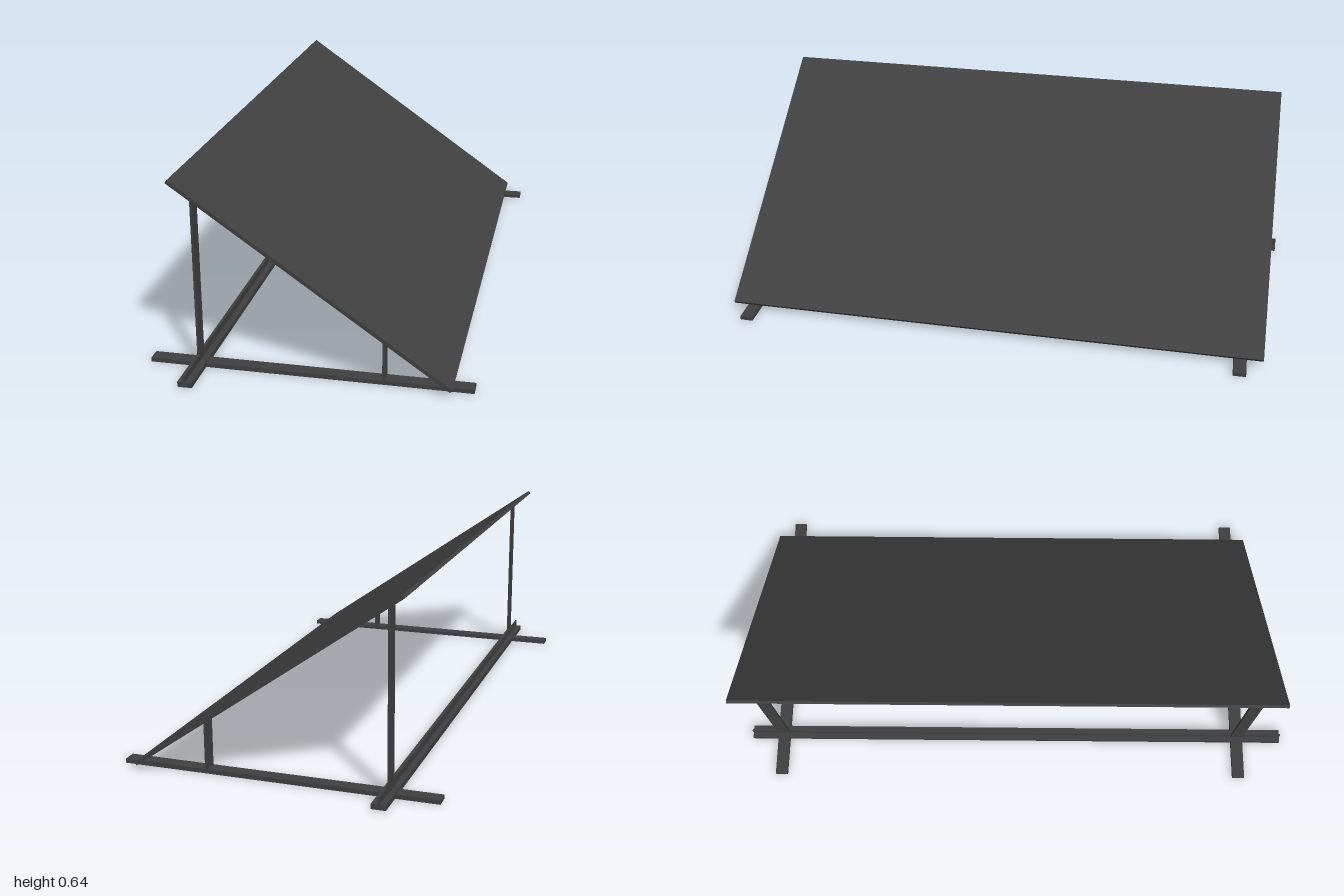
import * as THREE from 'three';

export function createModel() {
  const model = new THREE.Group();
  const darkGrey = new THREE.MeshStandardMaterial({ color: 0x404040 });
  darkGrey.name = 'darkGrey';

  // Box given by its extents along each axis
  const addBox = (name, [x0, x1], [y0, y1], [z0, z1]) => {
    const mesh = new THREE.Mesh(new THREE.BoxGeometry(x1 - x0, y1 - y0, z1 - z0), darkGrey);
    mesh.position.set((x0 + x1) / 2, (y0 + y1) / 2, (z0 + z1) / 2);
    mesh.name = name;
    model.add(mesh);
    return mesh;
  };

  // Sloping panel, from the high edge to the low edge
  const high = new THREE.Vector2(-0.414, 0.631);
  const low = new THREE.Vector2(0.45, 0.026);
  const length = high.distanceTo(low);
  const panel = addBox('panel', [-length / 2, length / 2], [-0.006, 0.006], [-0.96, 0.906]);
  panel.position.x = (high.x + low.x) / 2;
  panel.position.y = (high.y + low.y) / 2;
  panel.rotation.z = Math.atan2(low.y - high.y, low.x - high.x);

  // Long ground rail with an upright rib
  addBox('railBase', [-0.378, -0.332], [0.002, 0.019], [-1, 1]);
  addBox('railRib', [-0.359, -0.353], [0.019, 0.042], [-1, 1]);

  // A cross foot with a tall and a short post near each end
  for (const [end, z] of [['back', -0.883], ['front', 0.838]]) {
    const width = [z - 0.022, z + 0.022];
    addBox(end + 'Foot', [-0.515, 0.515], [0, 0.014], width);
    addBox(end + 'TallPost', [-0.361, -0.353], [0.01, 0.584], width);
    addBox(end + 'ShortPost', [0.231, 0.239], [0.01, 0.172], width);
  }

  return model;
}
